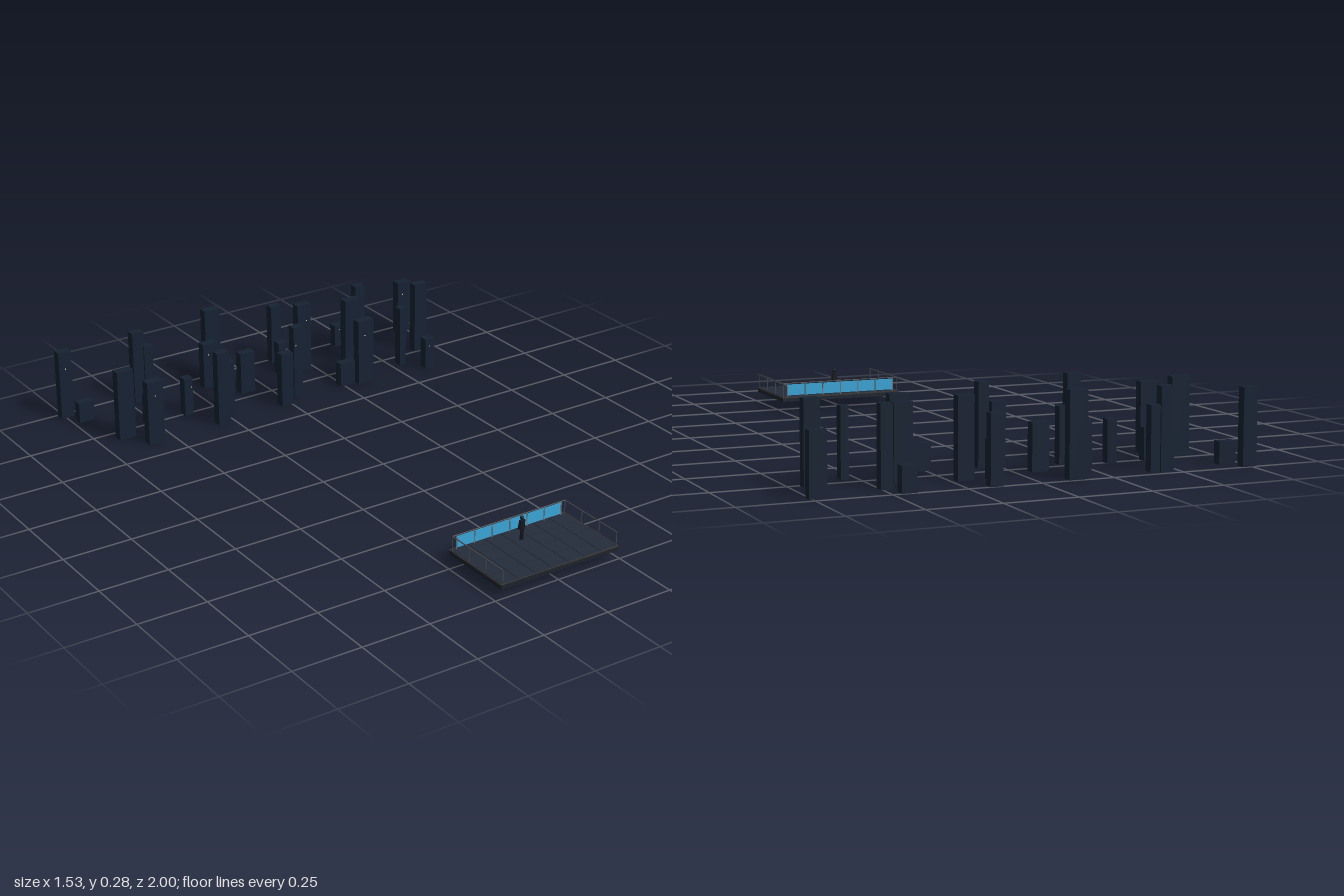
import * as THREE from 'three';

const mat = (color) => new THREE.MeshStandardMaterial({ color });
const M = {
  tower: mat(0x162232), window: mat(0xd8c890), slab: mat(0x1d232d), tile: mat(0x252d3b),
  trim: mat(0x3c3a3a), rail: mat(0x4a4d50), post: mat(0x777b80), glass: mat(0x3aa6d8), figure: mat(0x14181f),
};

function box(parent, name, w, h, d, x, y, z, m) {
  const mesh = new THREE.Mesh(new THREE.BoxGeometry(w, h, d), m);
  mesh.position.set(x, y, z);
  mesh.name = name;
  parent.add(mesh);
  return mesh;
}

function rod(parent, name, a, b, r, m) {
  const from = new THREE.Vector3(...a), dir = new THREE.Vector3(...b).sub(from);
  const mesh = new THREE.Mesh(new THREE.CylinderGeometry(r, r, dir.length(), 8), m);
  mesh.position.copy(from).addScaledVector(dir, 0.5);
  mesh.quaternion.setFromUnitVectors(new THREE.Vector3(0, 1, 0), dir.normalize());
  mesh.name = name;
  parent.add(mesh);
}

// Skyline towers: x, z, width, height
const TOWERS = [
  [-0.743, -0.98, 0.05, 0.26], [-0.7, -0.912, 0.06, 0.076], [-0.645, -0.7, 0.065, 0.264],
  [-0.575, -0.61, 0.063, 0.24], [-0.506, -0.758, 0.058, 0.112], [-0.455, -0.955, 0.047, 0.276],
  [-0.417, -0.949, 0.037, 0.216], [-0.364, -0.75, 0.034, 0.146], [-0.295, -0.61, 0.049, 0.282],
  [-0.224, -0.708, 0.06, 0.19], [-0.171, -0.92, 0.064, 0.178], [-0.129, -0.975, 0.064, 0.285],
  [-0.081, -0.803, 0.06, 0.16], [-0.017, -0.623, 0.05, 0.206], [0.056, -0.665, 0.037, 0.28],
  [0.115, -0.875, 0.032, 0.127], [0.156, -0.985, 0.043, 0.23], [0.202, -0.855, 0.057, 0.27],
  [0.265, -0.65, 0.064, 0.092], [0.336, -0.633, 0.066, 0.252], [0.4, -0.824, 0.064, 0.256],
  [0.445, -0.98, 0.05, 0.086], [0.487, -0.902, 0.041, 0.267], [0.543, -0.69, 0.027, 0.234],
  [0.615, -0.611, 0.041, 0.12], [0.681, -0.77, 0.055, 0.277], [0.732, -0.96, 0.058, 0.21],
];
// Lit windows: tower index, x, y
const WINDOWS = [
  [0, -0.743, 0.193], [3, -0.576, 0.184], [7, -0.352, 0.11], [10, -0.182, 0.135], [14, 0.047, 0.209],
  [17, 0.212, 0.205], [19, 0.33, 0.193], [21, 0.442, 0.069], [24, 0.613, 0.09], [26, 0.725, 0.16],
];

function makeSkyline() {
  const g = new THREE.Group();
  g.name = 'skyline';
  const depth = 0.034;
  for (const [x, z, w, h] of TOWERS) box(g, 'tower', w, h, depth, x, h / 2, z, M.tower);
  for (const [i, x, y] of WINDOWS)
    box(g, 'litWindow', 0.004, 0.004, 0.002, x, y, TOWERS[i][1] + depth / 2, M.window);
  return g;
}

// Terrace coordinates
const CX = 0.0075, W = 0.468, Z0 = 0.717, Z1 = 1, CZ = (Z0 + Z1) / 2, D = Z1 - Z0;
const TOP = 0.05, RAIL_Y = 0.1, BACK = 0.727;

function makeDeck() {
  const g = new THREE.Group();
  g.name = 'deck';
  box(g, 'slab', W, 0.016, D, CX, 0.041, CZ, M.slab);
  // Paving tiles with narrow seams
  const nx = 7, nz = 4, tw = (W - 0.006) / nx, td = (D - 0.006) / nz;
  for (let i = 0; i < nx; i++)
    for (let j = 0; j < nz; j++)
      box(g, 'tile', tw - 0.002, 0.002, td - 0.002,
        CX + (i - (nx - 1) / 2) * tw, TOP - 0.0005, CZ + (j - (nz - 1) / 2) * td, M.tile);
  // Edge trim
  for (const s of [-1, 1]) {
    box(g, 'edgeTrim', 0.003, 0.005, D, CX + s * (W / 2 - 0.001), 0.048, CZ, M.trim);
    box(g, 'edgeTrim', W, 0.005, 0.003, CX, 0.048, CZ + s * (D / 2 - 0.0015), M.trim);
  }
  return g;
}

function makeRailing() {
  const g = new THREE.Group();
  g.name = 'railing';
  const half = 0.228, pitch = 0.0708;
  // Glazed back balustrade
  rod(g, 'backHandrail', [CX - half, RAIL_Y, BACK], [CX + half, RAIL_Y, BACK], 0.002, M.rail);
  for (let i = 0; i < 7; i++) {
    const x = CX + (i - 3) * pitch;
    rod(g, 'glassPost', [x, TOP, BACK], [x, RAIL_Y, BACK], 0.002, M.post);
    if (i < 6) box(g, 'glassPanel', pitch - 0.005, 0.041, 0.002, x + pitch / 2, 0.0755, BACK, M.glass);
  }
  // Open side rails
  for (const s of [-1, 1]) {
    const x = CX + s * half;
    rod(g, 'sideHandrail', [x, RAIL_Y, BACK], [x, RAIL_Y, 0.998], 0.002, M.rail);
    for (let i = 0; i < 4; i++) {
      const z = BACK + i * 0.09;
      rod(g, 'sidePost', [x, TOP, z], [x, RAIL_Y, z], 0.0016, M.rail);
    }
  }
  return g;
}

// Standing person looking out over the back balustrade
function makeFigure() {
  const g = new THREE.Group();
  g.name = 'figure';
  for (const s of [-1, 1]) {
    rod(g, 'leg', [s * 0.004, 0, 0], [s * 0.004, 0.042, 0], 0.0032, M.figure);
    rod(g, 'arm', [s * 0.01, 0.07, 0], [s * 0.012, 0.042, -0.004], 0.0022, M.figure);
  }
  box(g, 'torso', 0.018, 0.032, 0.01, 0, 0.056, 0, M.figure);
  const head = new THREE.Mesh(new THREE.SphereGeometry(0.0068, 16, 12), M.figure);
  head.position.set(0, 0.08, -0.001);
  head.name = 'head';
  g.add(head);
  g.position.set(CX, TOP, 0.793);
  return g;
}

export function createModel() {
  const model = new THREE.Group();
  model.name = 'terraceAndSkyline';
  const terrace = new THREE.Group();
  terrace.name = 'terrace';
  terrace.add(makeDeck(), makeRailing(), makeFigure());
  model.add(makeSkyline(), terrace);
  return model;
}
